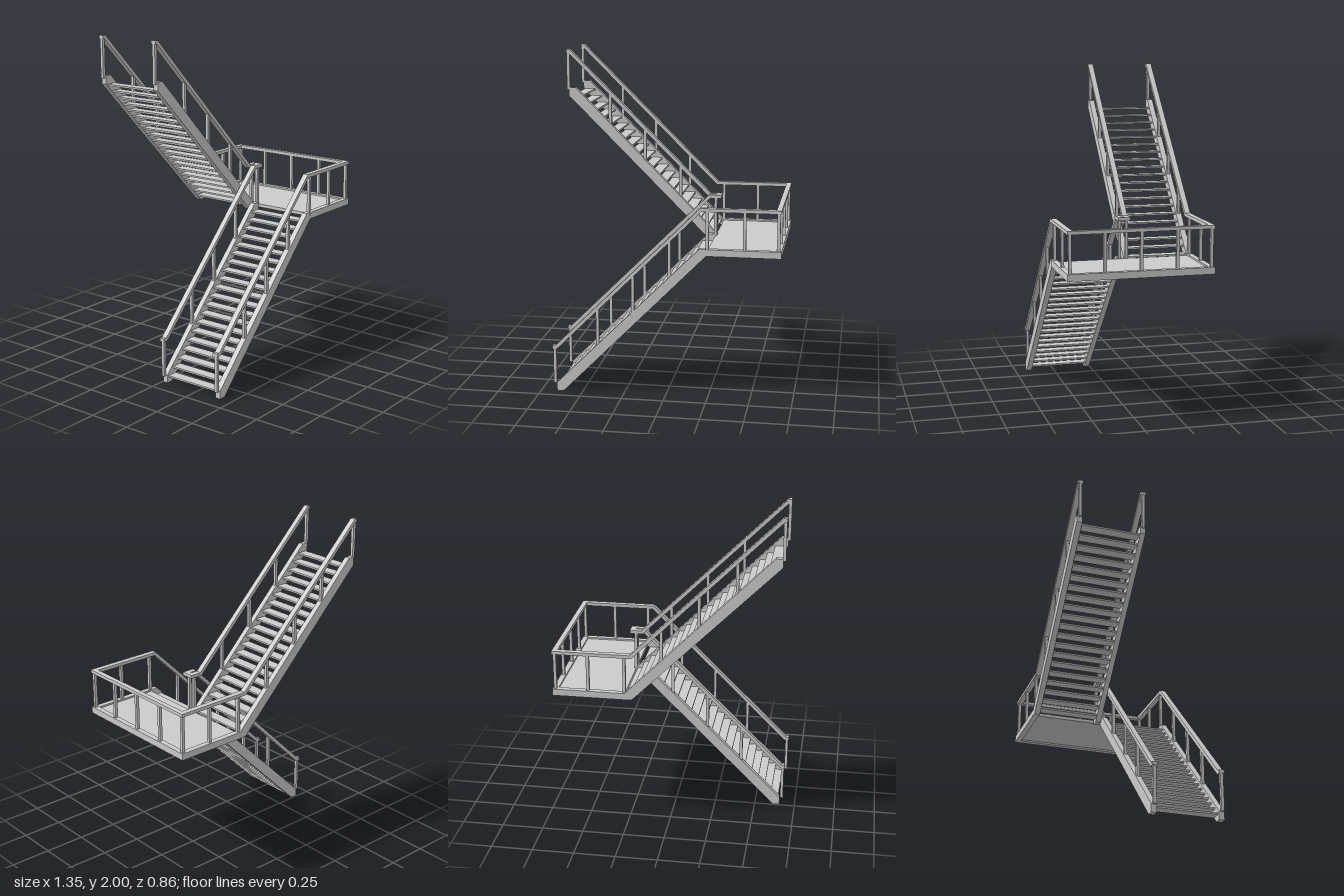
import * as THREE from 'three';

const material = new THREE.MeshStandardMaterial({ color: 0xcccccc, flatShading: true });

function add(parent, name, geometry) {
  const mesh = new THREE.Mesh(geometry, material);
  mesh.name = name;
  parent.add(mesh);
  return mesh;
}

// Box given by its extents
function box(parent, name, x0, x1, y0, y1, z0, z1) {
  add(parent, name, new THREE.BoxGeometry(x1 - x0, y1 - y0, z1 - z0))
    .position.set((x0 + x1) / 2, (y0 + y1) / 2, (z0 + z1) / 2);
}

// Side profile in x,y extruded between two z positions
function plate(parent, name, points, z0, z1) {
  const shape = new THREE.Shape(points.map(([x, y]) => new THREE.Vector2(x, y)));
  const geometry = new THREE.ExtrudeGeometry(shape, { depth: z1 - z0, bevelEnabled: false });
  add(parent, name, geometry.translate(0, 0, z0));
}

function post(parent, name, x, z, y0, y1) {
  const r = 0.009;
  box(parent, name, x - r, x + r, y0, y1, z - r, z + r);
}

const FLOOR = 0.905, BASE = 0.865;        // landing frame top and bottom
const RAIL_TOP = 1.145, RAIL_LOW = 1.125; // landing handrail
const TREADS = 20;

const stringerProfile = [[-0.655, 0], [-0.615, 0], [0.24, BASE], [0.24, FLOOR], [0.2, FLOOR], [-0.655, 0.05]];

// Handrail profiles run down or up the flight and level out over the landing
const lowerRail = (end) => [[-0.68, 0.28], [-0.662, 0.28], [0.205, RAIL_TOP], [end, RAIL_TOP],
  [end, RAIL_LOW], [0.213, RAIL_LOW], [-0.652, 0.26], [-0.68, 0.26]];
const upperRail = (end) => [[-0.67, 2], [-0.65, 2], [0.21, RAIL_TOP], [end, RAIL_TOP],
  [end, RAIL_LOW], [0.2, RAIL_LOW], [-0.658, 1.98], [-0.67, 1.98]];

function createFlight(name, upper) {
  const flight = new THREE.Group();
  flight.name = name;
  const side = upper ? -1 : 1;
  const span = (a, b) => (upper ? [-b, -a] : [a, b]);
  const profile = upper ? stringerProfile.map(([x, y]) => [x, 1.77 - y]) : stringerProfile;
  const rail = upper ? upperRail : lowerRail;

  // Inner and outer stringer, handrail and posts
  for (const [label, a, b, end] of [['inner', 0.005, 0.037, 0.28], ['outer', 0.393, 0.426, 0.67]]) {
    plate(flight, label + 'Stringer', profile, ...span(a, b));
    plate(flight, label + 'Handrail', rail(end), ...span(a, b));
    const z = side * (a + b) / 2;
    const first = upper ? -0.66 : -0.667;
    for (const x of [first, -0.405, -0.192, 0.025]) {
      const foot = upper ? Math.min(1.15 - x, 1.765) : Math.max(x + 0.705, 0.055);
      const head = upper ? Math.min(1.33 - x, 1.985) : Math.max(x + 0.918, 0.265);
      post(flight, label + 'Post', x, z, foot - 0.01, head);
    }
    post(flight, label + 'LandingPost', 0.245, z, FLOOR - 0.03, RAIL_LOW + 0.005);
  }

  // Open treads, each overlapping the next in plan
  for (let i = 0; i < TREADS; i++) {
    const x = -0.645 + i * 0.0428;
    const y = upper ? 1.715 - i * 0.043 : 0.037 + i * 0.0432;
    box(flight, 'tread', x, x + 0.065, y - 0.005, y + 0.005, ...span(0.037, 0.393));
  }
  return flight;
}

function createLanding() {
  const landing = new THREE.Group();
  landing.name = 'landing';
  box(landing, 'landingFloor', 0.245, 0.645, 0.875, 0.895, -0.4, 0.4);
  box(landing, 'endBeam', 0.64, 0.672, BASE, FLOOR, -0.428, 0.428);
  box(landing, 'endHandrail', 0.64, 0.67, RAIL_LOW, RAIL_TOP, -0.426, 0.426);
  // Link between the two inner handrails
  box(landing, 'innerHandrailLink', 0.25, 0.28, RAIL_LOW, RAIL_TOP, -0.006, 0.006);
  for (const s of [-1, 1]) {
    box(landing, 'sideBeam', 0.235, 0.64, BASE, FLOOR, s > 0 ? 0.395 : -0.428, s > 0 ? 0.428 : -0.395);
    post(landing, 'sidePost', 0.46, s * 0.41, FLOOR - 0.01, RAIL_LOW + 0.005);
  }
  for (const z of [-0.41, -0.21, 0, 0.21, 0.41]) {
    post(landing, 'endPost', 0.655, z, FLOOR - 0.01, RAIL_LOW + 0.005);
  }
  return landing;
}

export function createModel() {
  const model = new THREE.Group();
  model.name = 'staircase';
  model.add(createFlight('lowerFlight', false), createFlight('upperFlight', true), createLanding());
  return model;
}
